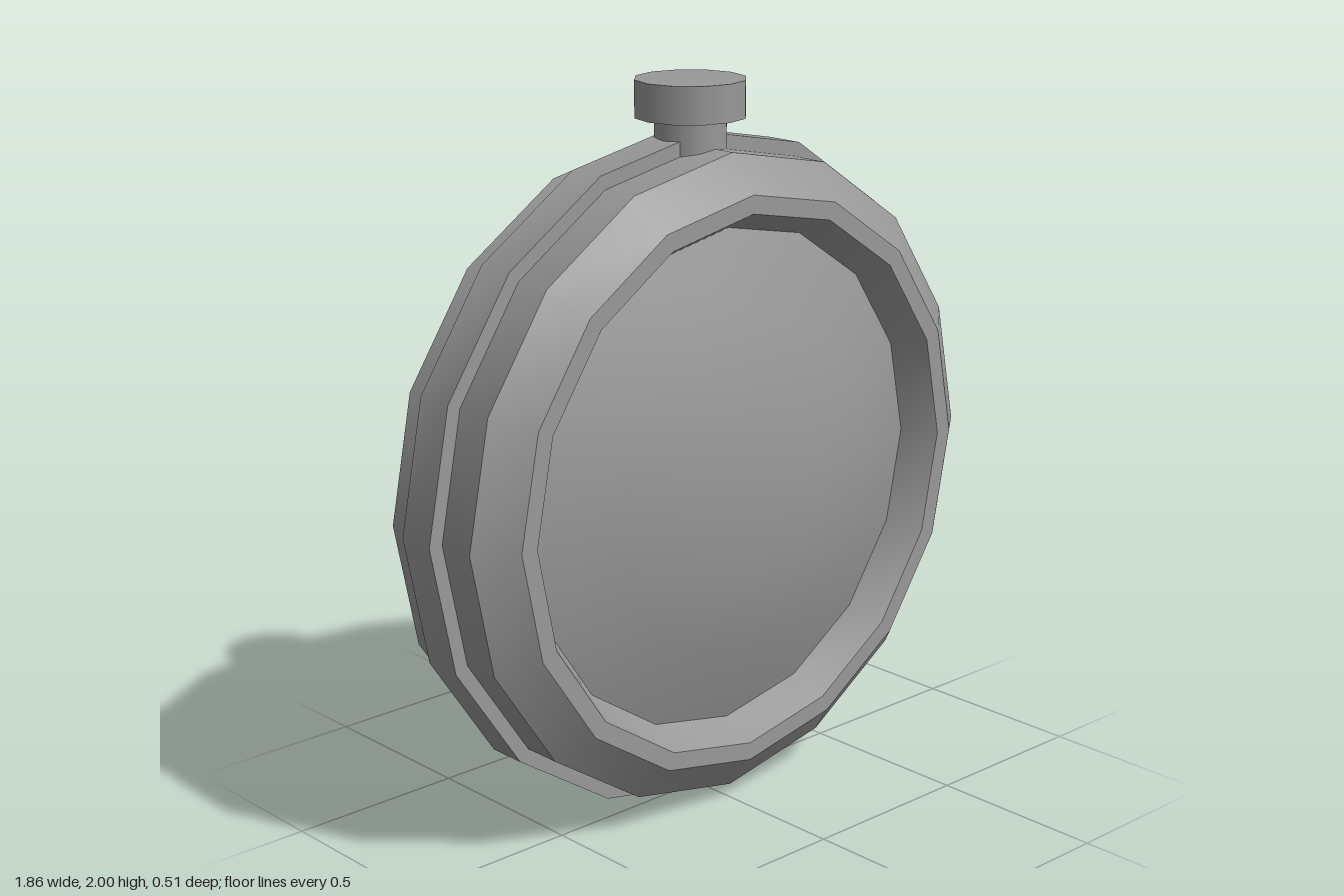
import * as THREE from 'three';
import { toCreasedNormals } from 'three/addons/utils/BufferGeometryUtils.js';

const SIDES = 16;
const CENTER_Y = 0.935;
const CROWN_Z = -0.025;

export function createModel() {
  const group = new THREE.Group();
  const material = new THREE.MeshStandardMaterial({ color: 0x999999 });

  const add = (name, geometry, y, z) => {
    const mesh = new THREE.Mesh(geometry, material);
    mesh.name = name;
    mesh.position.set(0, y, z);
    group.add(mesh);
  };

  // Turned part about the z axis; profile is [radius, z] from back to front
  const turned = (name, profile) => {
    const points = profile.map(([r, z]) => new THREE.Vector2(r, z));
    const geometry = new THREE.LatheGeometry(points, SIDES).rotateX(Math.PI / 2);
    add(name, toCreasedNormals(geometry, 0.5), CENTER_Y, 0);
  };

  // Case with chamfered edges, front rim and sloping inner bezel wall
  turned('case', [
    [0, -0.257], [0.815, -0.257], [0.89, -0.18], [0.89, 0.135],
    [0.79, 0.215], [0.74, 0.215], [0.69, 0.12],
  ]);

  // Raised band around the middle of the case
  turned('middleBand', [
    [0.88, -0.085], [0.93, -0.085], [0.93, 0.025], [0.88, 0.025],
  ]);

  // Shallow domed glass
  turned('glass', [[0.69, 0.12], [0.46, 0.203], [0.22, 0.257], [0, 0.257]]);

  // Stem and winding crown on top
  add('stem', new THREE.CylinderGeometry(0.098, 0.098, 0.14, 12), 1.85, CROWN_Z);
  add('crown', new THREE.CylinderGeometry(0.15, 0.15, 0.1, 12), 1.95, CROWN_Z);

  return group;
}
